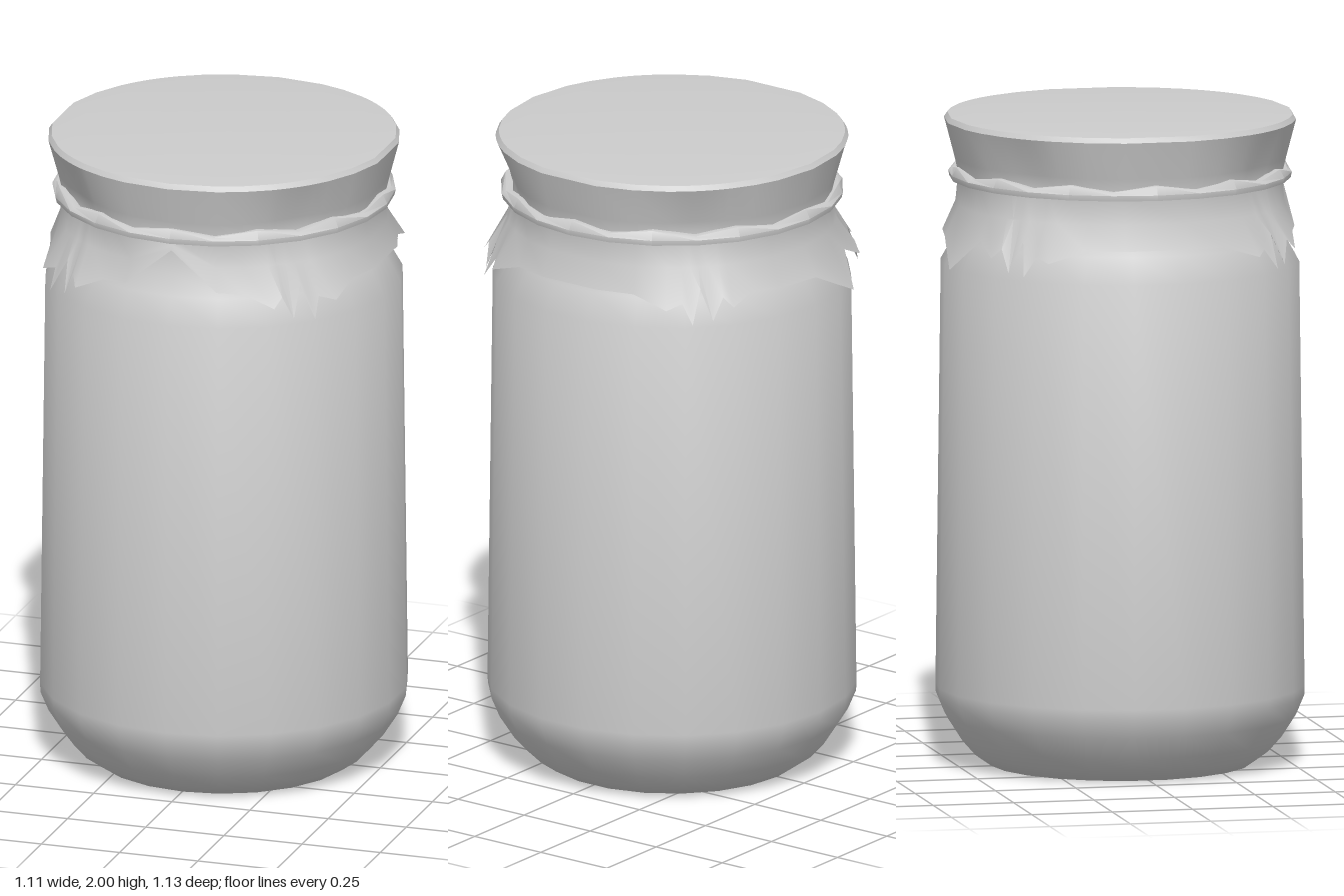
import * as THREE from 'three';
import { toCreasedNormals } from 'three/addons/utils/BufferGeometryUtils.js';

const material = new THREE.MeshStandardMaterial({ color: 0xcccccc });
const clothMaterial = new THREE.MeshStandardMaterial({ color: 0xcccccc, side: THREE.DoubleSide });

// Skin a surface over rings: section(angle) gives [radius, y] pairs from top to bottom.
// Angles are in degrees, measured from +z towards +x.
function loft(angles, section) {
  const positions = [], index = [];
  let rows = 0;
  for (const angle of angles) {
    const t = THREE.MathUtils.degToRad(angle);
    const points = section(angle);
    rows = points.length;
    for (const [r, y] of points) positions.push(r * Math.sin(t), y, r * Math.cos(t));
  }
  for (let i = 0; i < angles.length; i++) {
    const a = i * rows, b = ((i + 1) % angles.length) * rows;
    for (let j = 0; j < rows - 1; j++) {
      index.push(a + j, a + j + 1, b + j + 1, a + j, b + j + 1, b + j);
    }
  }
  const geometry = new THREE.BufferGeometry();
  geometry.setAttribute('position', new THREE.Float32BufferAttribute(positions, 3));
  geometry.setIndex(index);
  return toCreasedNormals(geometry, 0.75);
}

// Hem of one quarter of the cloth: angle, radius, height
const hem = [
  [0, 0.505, 1.77], [16, 0.53, 1.65], [25, 0.535, 1.645], [34, 0.57, 1.605],
  [37, 0.555, 1.635], [40.5, 0.565, 1.565], [44, 0.535, 1.66], [47, 0.58, 1.56],
  [50, 0.55, 1.62], [55, 0.573, 1.605], [66, 0.53, 1.64], [79, 0.53, 1.642],
];
// The back hangs level, with one loose corner pulled outwards
const backHem = { 180: [0.545, 1.63], 196: [0.59, 1.55], 164: [0.54, 1.63] };

function hemAt(angle) {
  if (backHem[angle]) return backHem[angle];
  const half = angle > 180 ? 360 - angle : angle;
  const quarter = half > 90 ? 180 - half : half;
  const [, r, y] = hem.find((h) => h[0] === quarter);
  return [r, y];
}

function createJar() {
  const profile = [
    [0, 0], [0.4, 0], [0.45, 0.035], [0.49, 0.08], [0.535, 0.15], [0.56, 0.21], [0.561, 0.24],
    [0.545, 1.54], [0.5, 1.62], [0.47, 1.68], [0.455, 1.75], [0.455, 1.95], [0, 1.95],
  ].map(([x, y]) => new THREE.Vector2(x, y));
  const geometry = toCreasedNormals(new THREE.LatheGeometry(profile, 22), 0.65);
  const jar = new THREE.Mesh(geometry, material);
  jar.name = 'jar';
  return jar;
}

function createCloth() {
  const quarter = hem.map((h) => h[0]);
  const half = [...quarter, ...quarter.map((a) => 180 - a)];
  const angles = [...new Set([...half, ...half.map((a) => (360 - a) % 360)])].sort((a, b) => a - b);
  const geometry = loft(angles, (angle) => {
    const [r, y] = hemAt(angle);
    // The gathered corners pull in towards the neck
    const pinch = 0.02 * Math.pow(Math.abs(Math.sin(THREE.MathUtils.degToRad(2 * angle))), 8);
    const middle = Math.max(y + 0.03, 1.72);
    return [
      [0, 2], [0.45, 1.997], [0.525, 1.99], [0.535, 1.975],
      [0.505 - pinch, 1.86], [0.492 - pinch, 1.805],
      [Math.min(0.5, r - 0.005), Math.min(middle, 1.785)], [r, y],
    ];
  });
  const cloth = new THREE.Mesh(geometry, clothMaterial);
  cloth.name = 'clothCover';
  return cloth;
}

function createBand() {
  const angles = Array.from({ length: 24 }, (_, i) => i * 15);
  const geometry = loft(angles, (angle) => {
    const top = 1.83 + 0.009 * Math.cos(THREE.MathUtils.degToRad(12 * angle));
    return [[0.487, top], [0.508, top], [0.522, 1.812], [0.518, 1.795], [0.487, 1.795], [0.487, top]];
  });
  const band = new THREE.Mesh(geometry, material);
  band.name = 'tieBand';
  return band;
}

export function createModel() {
  const model = new THREE.Group();
  model.name = 'coveredJar';
  model.add(createJar(), createCloth(), createBand());
  return model;
}
